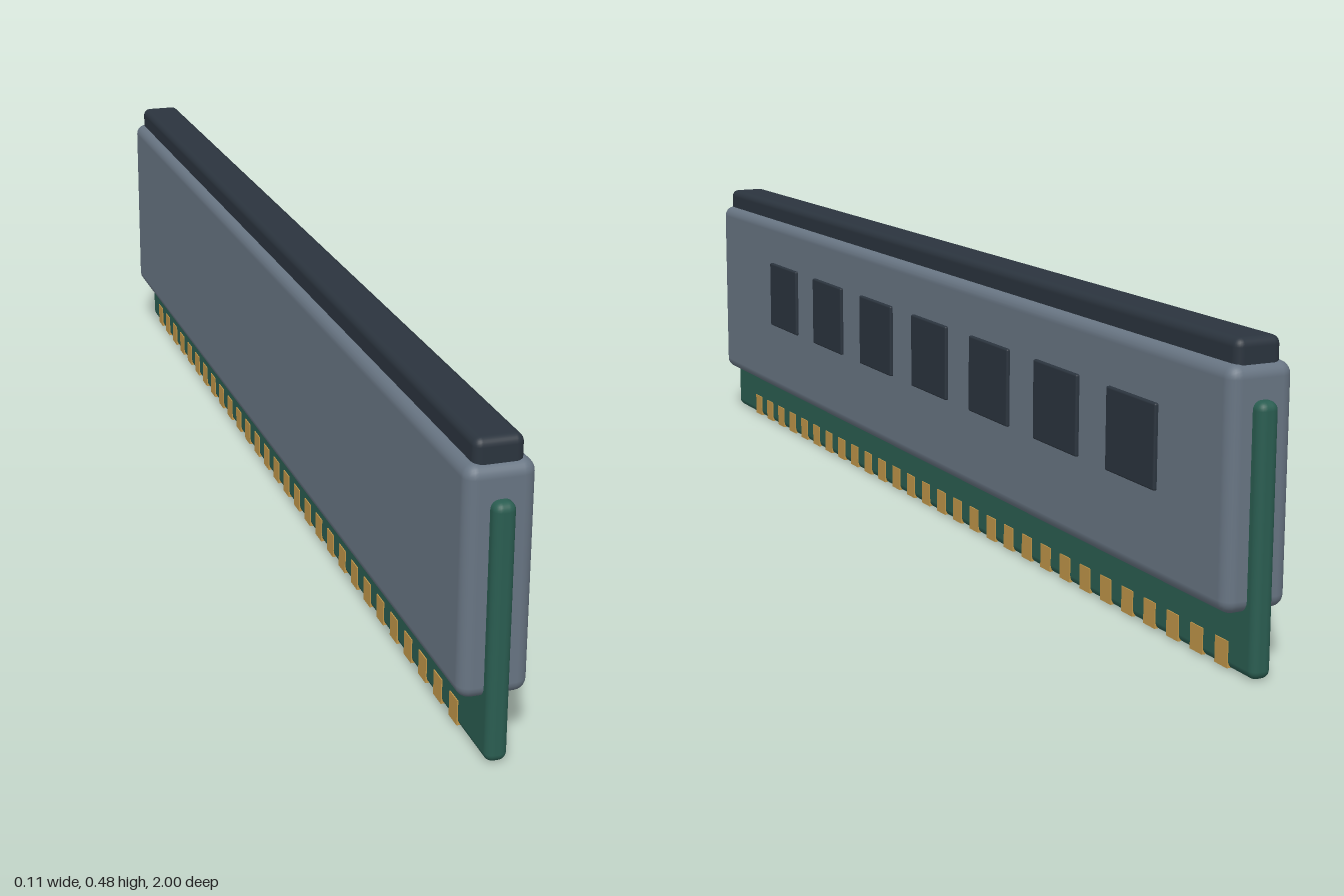
import * as THREE from 'three';
import { RoundedBoxGeometry } from 'three/addons/geometries/RoundedBoxGeometry.js';

function material(name, color) {
  const m = new THREE.MeshStandardMaterial({ color });
  m.name = name;
  return m;
}

export function createModel() {
  const model = new THREE.Group();
  model.name = 'memoryModule';
  const green = material('circuitGreen', 0x2a5d51);
  const grey = material('spreaderGrey', 0x687583);
  const dark = material('darkSlate', 0x2b343e);
  const gold = material('contactGold', 0xbf9548);
  const midX = -0.0048;

  // Box given by its minimum and maximum corners, optionally rounded
  function block(parent, name, mat, min, max, radius = 0) {
    const s = max.map((v, i) => v - min[i]);
    const geometry = radius
      ? new RoundedBoxGeometry(s[0], s[1], s[2], 3, radius)
      : new THREE.BoxGeometry(s[0], s[1], s[2]);
    const mesh = new THREE.Mesh(geometry, mat);
    mesh.name = name;
    mesh.position.set(...max.map((v, i) => (v + min[i]) / 2));
    parent.add(mesh);
  }

  // Main slabs
  block(model, 'circuitBoard', green, [midX - 0.0168, 0, -1], [midX + 0.0168, 0.396, 1], 0.013);
  block(model, 'heatSpreader', grey, [midX - 0.0525, 0.093, -0.981], [midX + 0.0525, 0.446, 0.981], 0.02);
  block(model, 'topBar', dark, [midX - 0.0372, 0.42, -0.97], [midX + 0.0372, 0.481, 0.97], 0.013);

  // Row of chips on the left face
  const chips = new THREE.Group();
  chips.name = 'chips';
  model.add(chips);
  for (let i = 0; i < 7; i++) {
    const z = 0.625 - i * 0.2258;
    block(chips, 'chip', dark, [0.044, 0.231, z - 0.069], [0.0535, 0.36, z + 0.069], 0.003);
  }

  // Gold edge contacts on both faces of the board
  const contacts = new THREE.Group();
  contacts.name = 'edgeContacts';
  model.add(contacts);
  for (let i = 0; i < 29; i++) {
    const z = 0.874 - i * 0.0642;
    for (const side of [-1, 1]) {
      const x = midX + side * 0.0155;
      block(contacts, 'contact', gold, [x - 0.003, 0.002, z - 0.016], [x + 0.003, 0.042, z + 0.016]);
    }
  }
  return model;
}
